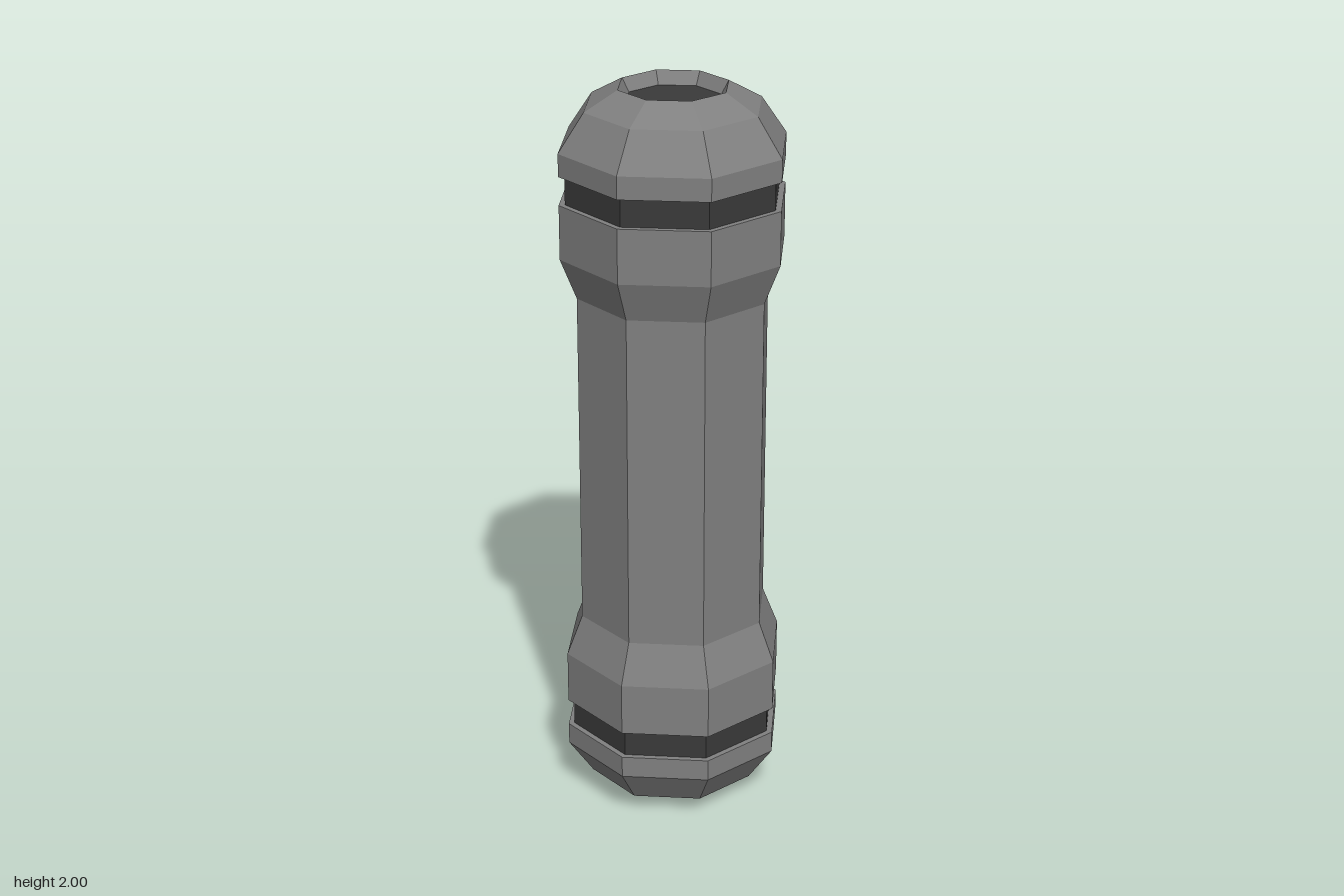
import * as THREE from 'three';

const SIDES = 8;
const bodyMaterial = new THREE.MeshStandardMaterial({ color: 0x808080, flatShading: true });
const darkMaterial = new THREE.MeshStandardMaterial({ color: 0x3a3a3a, flatShading: true });

// Octagonal lathe; profile radii are measured to the middle of each flat
function octagon(name, profile, material) {
  const k = 1 / Math.cos(Math.PI / SIDES);
  const points = profile.map(([r, y]) => new THREE.Vector2(r * k, y));
  const mesh = new THREE.Mesh(new THREE.LatheGeometry(points, SIDES, Math.PI / SIDES), material);
  mesh.name = name;
  return mesh;
}

// Reflect a profile about mid height, keeping it running the right way round
const mirror = (profile) => profile.map(([r, y]) => [r, 2 - y]).reverse();

export function createModel() {
  const group = new THREE.Group();
  group.name = 'capsule';

  // Slim shaft flaring into a collar at each end
  const upperShaft = [[0.24, 1.46], [0.28, 1.57], [0.28, 1.715], [0.262, 1.715]];
  group.add(octagon('shaft', [...mirror(upperShaft), ...upperShaft], bodyMaterial));

  // Rounded cap with recessed end, dark groove and dark recess floor
  const parts = [
    ['Cap', [[0.262, 1.79], [0.28, 1.79], [0.28, 1.85], [0.217, 1.95], [0.135, 2], [0.117, 1.965]], bodyMaterial],
    ['GrooveBand', [[0.265, 1.71], [0.265, 1.795]], darkMaterial],
    ['RecessFloor', [[0.117, 1.965], [0, 1.965]], darkMaterial],
  ];
  for (const [name, profile, material] of parts) {
    group.add(octagon('top' + name, profile, material));
    group.add(octagon('bottom' + name, mirror(profile), material));
  }
  return group;
}
